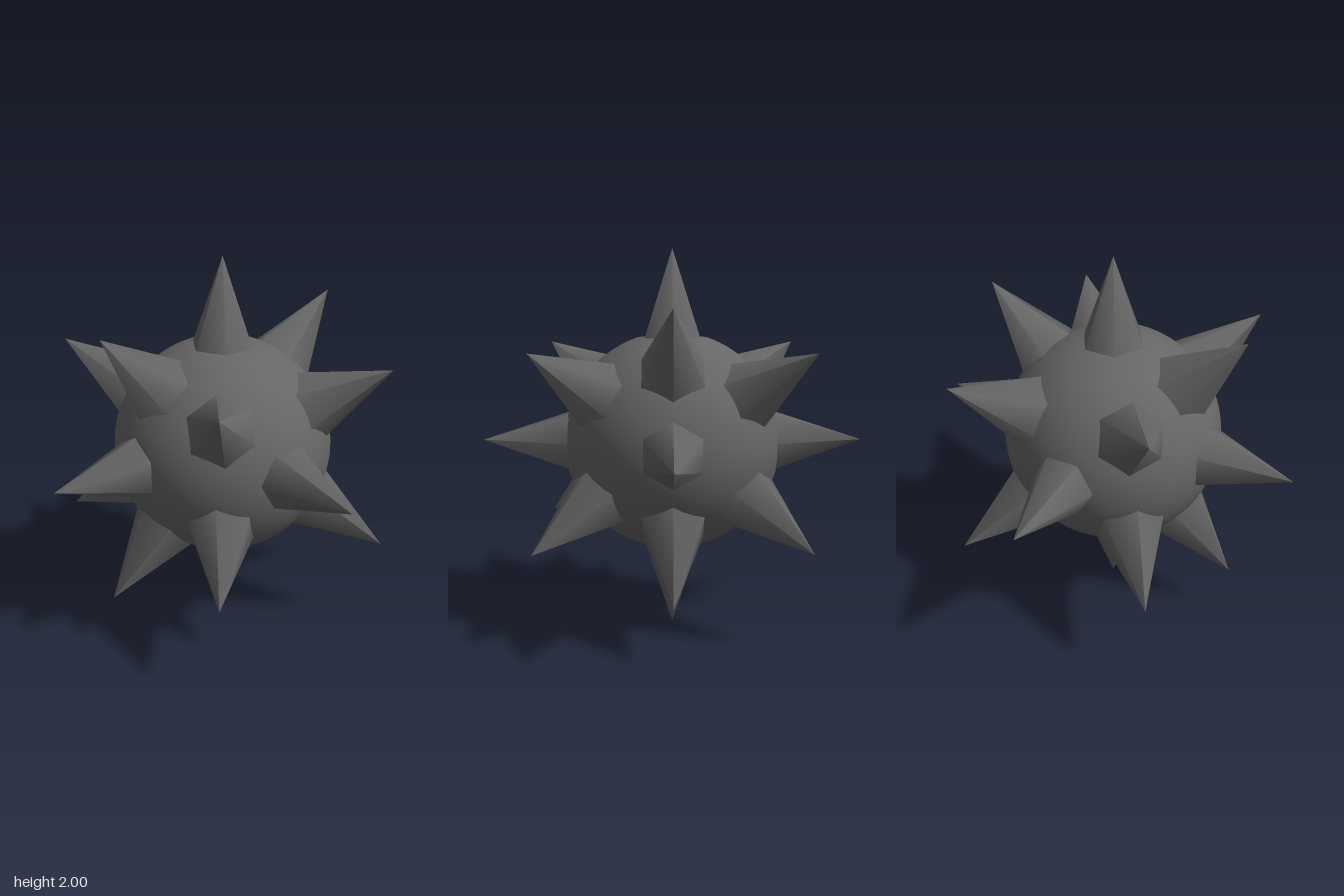
import * as THREE from 'three';

export function createModel() {
  const model = new THREE.Group();
  model.name = 'spikedBall';
  const grey = new THREE.MeshStandardMaterial({ color: 0x666666 });
  grey.name = 'dark grey';

  // Round core, slightly flattened where the six axis spikes sit
  const coreGeometry = new THREE.SphereGeometry(0.57, 64, 48);
  const p = coreGeometry.attributes.position;
  const flat = (v) => THREE.MathUtils.clamp(v, -0.54, 0.54);
  for (let i = 0; i < p.count; i++) {
    p.setXYZ(i, flat(p.getX(i)), flat(p.getY(i)), flat(p.getZ(i)));
  }
  const core = new THREE.Mesh(coreGeometry, grey);
  core.name = 'core';
  core.position.y = 1;
  model.add(core);

  // Six-sided spike, from inside the core out to a tip at distance 1
  const makeSpike = (slope) => {
    const length = 0.55;
    const g = new THREE.ConeGeometry(length * slope, length, 6);
    return g.translate(0, 1 - length / 2, 0);
  };
  const axisSpike = makeSpike(0.36);
  const diagonalSpike = makeSpike(0.39);
  const up = new THREE.Vector3(0, 1, 0);

  const addSpike = (name, geometry, x, y, z) => {
    const spike = new THREE.Mesh(geometry, grey);
    spike.name = name;
    spike.position.y = 1;
    spike.quaternion.setFromUnitVectors(up, new THREE.Vector3(x, y, z).normalize());
    model.add(spike);
  };

  for (const a of [-1, 1]) {
    // Spikes along the three axes
    addSpike('sideSpike', axisSpike, a, 0, 0);
    addSpike('verticalSpike', axisSpike, 0, a, 0);
    addSpike('frontBackSpike', axisSpike, 0, 0, a);
    for (const b of [-1, 1]) {
      // Diagonals in the middle plane, then the eight corners
      addSpike('middleDiagonalSpike', diagonalSpike, 0, a, b);
      for (const c of [-1, 1]) {
        addSpike('cornerSpike', diagonalSpike, 0.69 * c, 0.49 * a, 0.53 * b);
      }
    }
  }
  return model;
}
